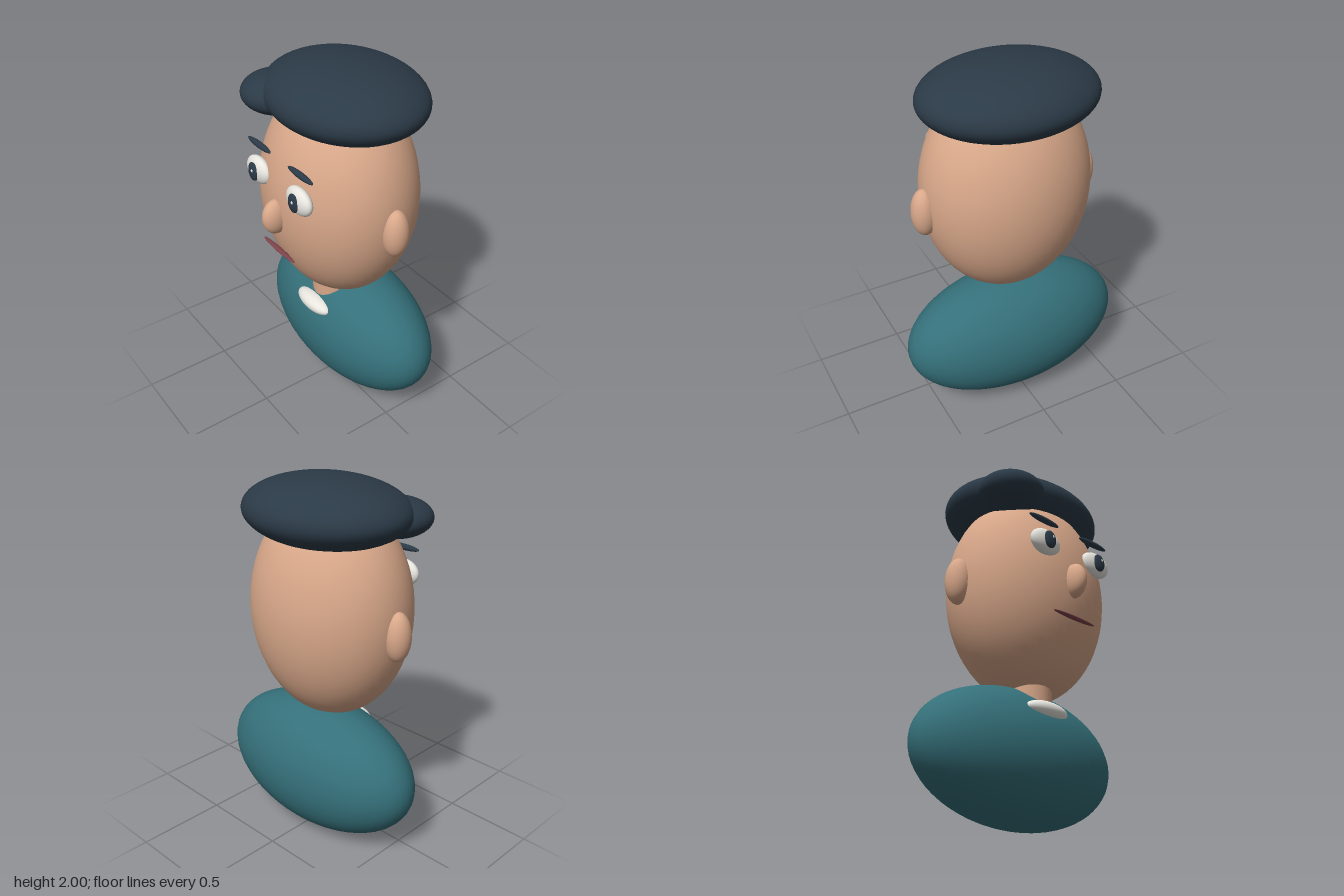
import * as THREE from 'three';

const mat = (name, color) => {
  const m = new THREE.MeshStandardMaterial({ color });
  m.name = name;
  return m;
};

export function createModel() {
  const skin = mat('skin', 0xd9a88a);
  const dark = mat('dark hair', 0x2b3a47);
  const teal = mat('teal cloth', 0x35707a);
  const white = mat('off white', 0xe8e6df);
  const lip = mat('lip', 0x7d444a);

  const model = new THREE.Group();
  model.name = 'bust';
  const ball = new THREE.SphereGeometry(1, 48, 32);

  // Smooth ellipsoid from its centre and radii
  const blob = (name, material, centre, radii) => {
    const mesh = new THREE.Mesh(ball, material);
    mesh.name = name;
    mesh.position.set(...centre);
    mesh.scale.set(...radii);
    model.add(mesh);
  };

  // Torso, collar and neck
  blob('torso', teal, [0, 0.38, -0.11], [0.64, 0.375, 0.32]);
  blob('collar', white, [0, 0.58, 0.145], [0.138, 0.048, 0.06]);
  const neck = new THREE.Mesh(new THREE.CylinderGeometry(0.128, 0.128, 0.36, 40), skin);
  neck.name = 'neck';
  neck.position.y = 0.7;
  model.add(neck);

  // Head, nose and mouth
  blob('head', skin, [0, 1.29, -0.025], [0.47, 0.61, 0.4]);
  blob('nose', skin, [0, 1.253, 0.372], [0.055, 0.1, 0.08]);
  blob('mouth', lip, [0, 1.037, 0.365], [0.145, 0.01, 0.016]);

  // Hair cap with a swept lock on the right
  blob('hair', dark, [0, 1.82, -0.06], [0.48, 0.18, 0.395]);
  blob('hairLock', dark, [-0.275, 1.79, 0.165], [0.19, 0.104, 0.19]);

  // Paired features
  for (const [side, s] of [['left', 1], ['right', -1]]) {
    blob(side + 'Ear', skin, [s * 0.47, 1.245, -0.03], [0.07, 0.135, 0.073]);
    blob(side + 'Eye', white, [s * 0.185, 1.432, 0.348], [0.1, 0.074, 0.043]);
    blob(side + 'Pupil', dark, [s * 0.185, 1.432, 0.385], [0.04, 0.052, 0.017]);
    blob(side + 'Glint', white, [s * 0.185 + 0.01, 1.445, 0.398], [0.008, 0.01, 0.006]);
    blob(side + 'Brow', dark, [s * 0.185, 1.574, 0.34], [0.105, 0.017, 0.017]);
  }
  return model;
}
